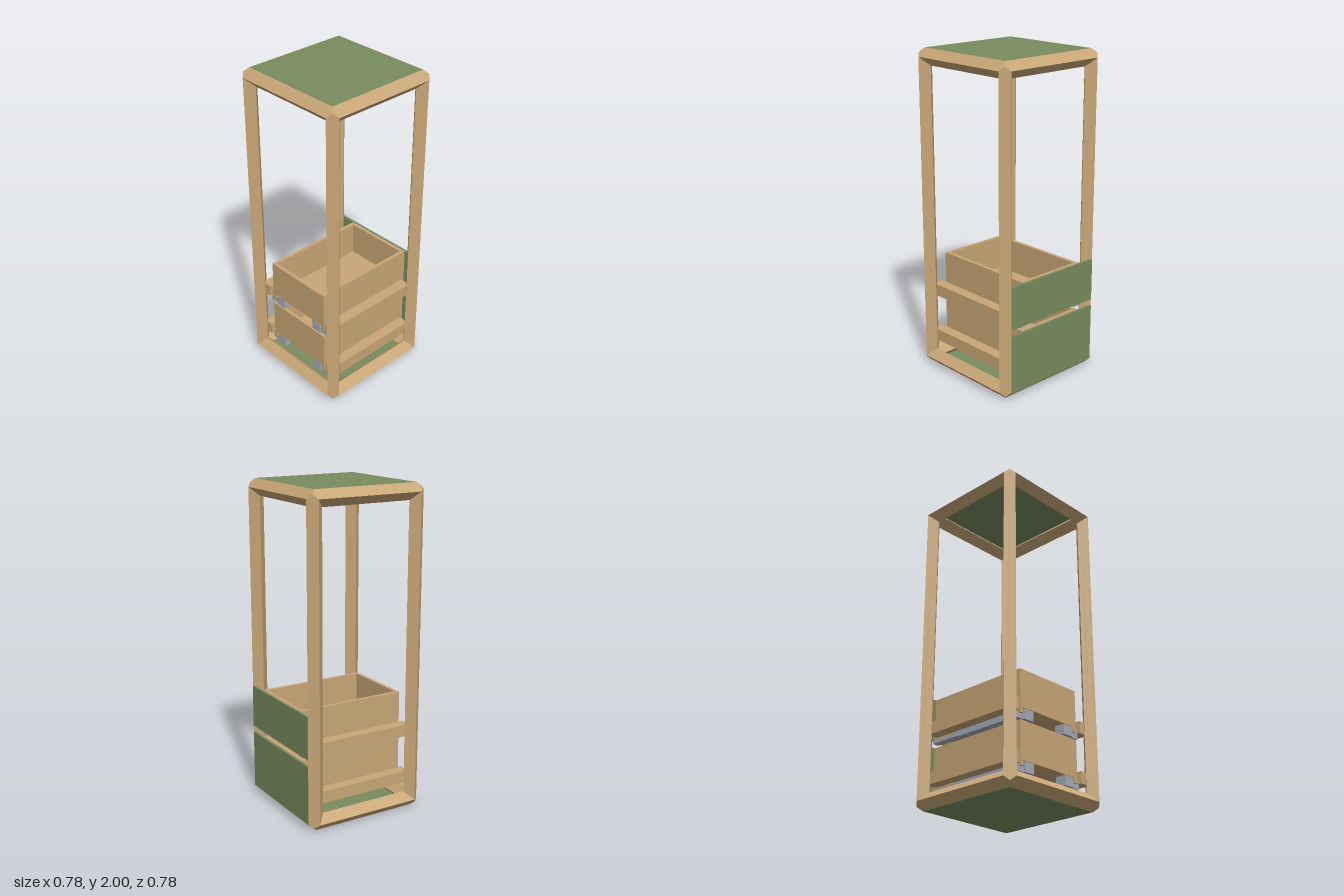
import * as THREE from 'three';

const wood = new THREE.MeshStandardMaterial({ color: 0xc8a676 });
const green = new THREE.MeshStandardMaterial({ color: 0x788c5f });
const steel = new THREE.MeshStandardMaterial({ color: 0xa3abb8 });

// Box given by its min and max on each axis
function box(parent, name, material, [x0, x1], [y0, y1], [z0, z1]) {
  const mesh = new THREE.Mesh(new THREE.BoxGeometry(x1 - x0, y1 - y0, z1 - z0), material);
  mesh.position.set((x0 + x1) / 2, (y0 + y1) / 2, (z0 + z1) / 2);
  mesh.name = name;
  parent.add(mesh);
  return mesh;
}

const R = 0.05; // half diagonal of the square frame bar

// Square bar turned on its edge, with ends mitred to meet two neighbours at a corner.
// su and sv tell which local x and z directions point out of the frame.
function mitredBar(half, su, sv) {
  const side = R * Math.SQRT2;
  const geo = new THREE.BoxGeometry(side, 2, side, 2, 1, 2);
  geo.rotateY(Math.PI / 4);
  const p = geo.attributes.position;
  for (let i = 0; i < p.count; i++) {
    const end = half + Math.min(p.getX(i) * su, p.getZ(i) * sv);
    p.setY(i, Math.sign(p.getY(i)) * end);
  }
  geo.computeVertexNormals();
  return geo;
}

function buildFrame() {
  const frame = new THREE.Group();
  frame.name = 'frame';
  const H = 0.34, V = 0.95;
  const add = (name, geo, x, y, z) => {
    const mesh = new THREE.Mesh(geo, wood);
    mesh.name = name;
    mesh.position.set(x, y, z);
    frame.add(mesh);
  };
  for (const a of [-1, 1]) {
    for (const b of [-1, 1]) {
      add('post', mitredBar(V, a, b), a * H, 1, b * H);
      // crossbar along x: local x becomes -y
      add('crossBar', mitredBar(H, -a, b).rotateZ(-Math.PI / 2), 0, 1 + a * V, b * H);
      // side bar along z: local z becomes -y
      add('sideBar', mitredBar(H, a, -b).rotateX(Math.PI / 2), a * H, 1 + b * V, 0);
    }
  }
  return frame;
}

// Drawer with its face panel at the back, runners and supporting rails
function buildDrawer(y, faceBottom) {
  const drawer = new THREE.Group();
  drawer.name = 'drawer';
  const front = 0.32, back = -0.375;
  box(drawer, 'drawerFace', green, [-0.34, 0.34], [faceBottom, y + 0.265], [-0.392, -0.376]);
  box(drawer, 'drawerFloor', wood, [-0.212, 0.212], [y + 0.035, y + 0.053], [back, front]);
  box(drawer, 'drawerEnd', wood, [-0.212, 0.212], [y + 0.053, y + 0.265], [front - 0.022, front]);
  box(drawer, 'drawerEnd', wood, [-0.212, 0.212], [y + 0.053, y + 0.265], [back, back + 0.022]);
  for (const s of [-1, 1]) {
    const span = (a, b) => (s > 0 ? [a, b] : [-b, -a]);
    box(drawer, 'drawerSide', wood, span(0.212, 0.235), [y + 0.003, y + 0.265], [back, front]);
    box(drawer, 'supportRail', wood, span(0.258, 0.328), [y + 0.008, y + 0.082], [-0.33, 0.33]);
    box(drawer, 'runner', steel, span(0.2, 0.26), [y - 0.028, y + 0.003], [-0.16, 0.31]);
    box(drawer, 'runnerExtension', steel, span(0.208, 0.25), [y - 0.018, y + 0.003], [back, -0.16]);
    box(drawer, 'runnerFlange', steel, span(0.25, 0.258), [y - 0.028, y + 0.035], [-0.16, 0.31]);
    box(drawer, 'runnerCatch', steel, span(0.13, 0.2), [y - 0.028, y + 0.033], [0.25, 0.32]);
  }
  return drawer;
}

export function createModel() {
  const model = new THREE.Group();
  model.name = 'drawerTower';
  model.add(buildFrame());

  // Top and bottom sheets, flush with the bar edges
  box(model, 'topPanel', green, [-0.338, 0.338], [1.988, 2], [-0.338, 0.338]);
  box(model, 'floorPanel', green, [-0.338, 0.338], [0, 0.012], [-0.338, 0.338]);

  model.add(buildDrawer(0.145, 0.045), buildDrawer(0.45, 0.452));
  return model;
}
